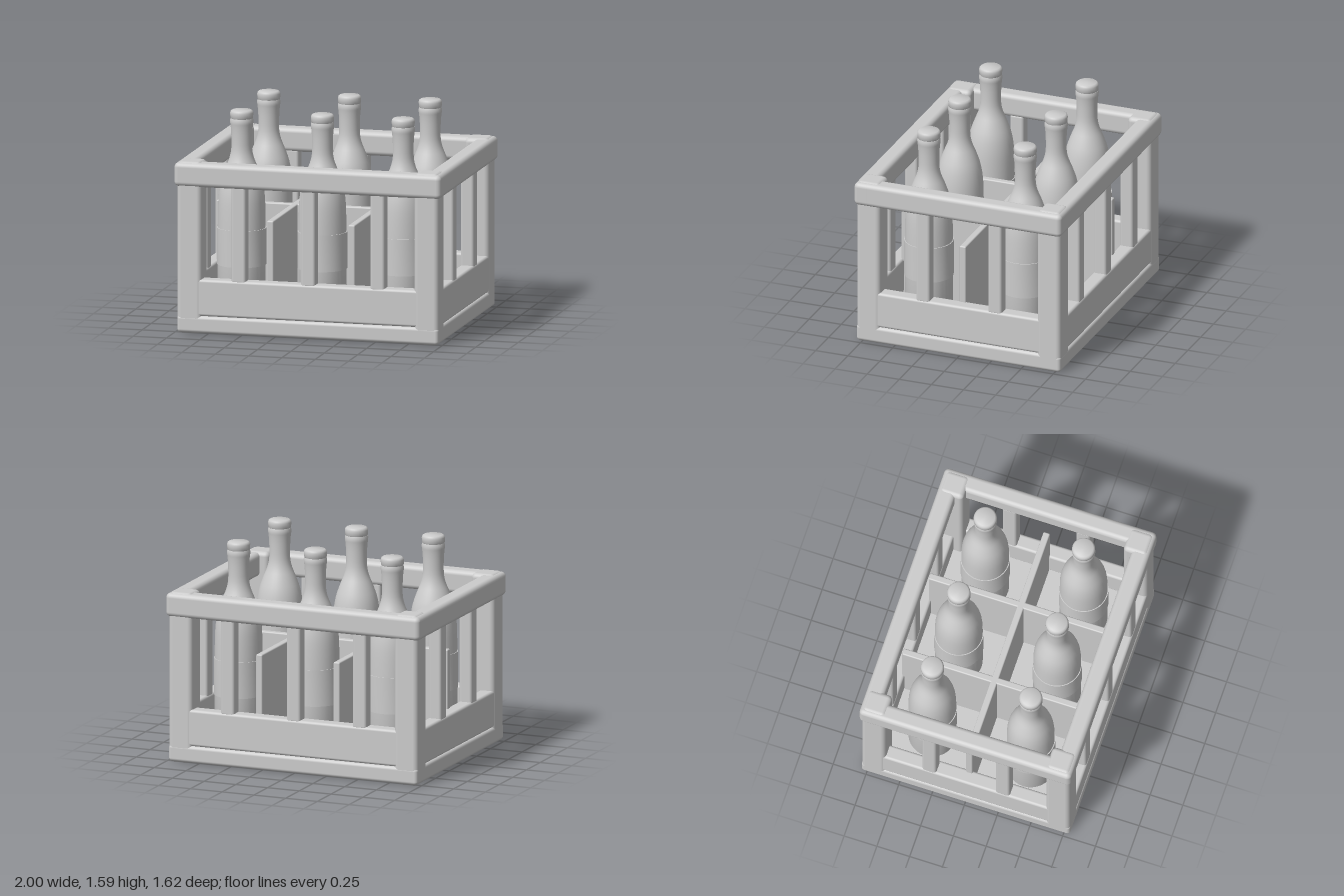
import * as THREE from 'three';
import { toCreasedNormals } from 'three/addons/utils/BufferGeometryUtils.js';
import { RoundedBoxGeometry } from 'three/addons/geometries/RoundedBoxGeometry.js';

export function createModel() {
  const grey = new THREE.MeshStandardMaterial({ color: 0xcccccc });
  grey.name = 'light grey';
  const model = new THREE.Group();
  model.name = 'bottleCrate';

  // rounded box given by its centre in x and z, and its bottom and top in y
  function block(name, x, z, w, d, y0, y1, r, parent = model) {
    const mesh = new THREE.Mesh(new RoundedBoxGeometry(w, y1 - y0, d, 3, r), grey);
    mesh.position.set(x, (y0 + y1) / 2, z);
    mesh.name = name;
    parent.add(mesh);
  }

  // base tray
  block('base', 0, 0, 1.96, 1.59, 0.005, 0.13, 0.025);

  for (const s of [-1, 1]) {
    // low walls
    block('longWall', 0, s * 0.735, 1.84, 0.11, 0.13, 0.4, 0.02);
    block('shortWall', s * 0.92, 0, 0.11, 1.47, 0.13, 0.4, 0.02);
    // top rails
    block('longRail', 0, s * 0.74, 2, 0.135, 1.08, 1.255, 0.035);
    block('shortRail', s * 0.932, 0, 0.135, 1.61, 1.08, 1.255, 0.035);
    // slats between walls and rails
    for (const x of [-0.52, 0, 0.52]) block('longSideSlat', x, s * 0.735, 0.108, 0.1, 0.38, 1.1, 0.02);
    for (const z of [-0.28, 0.28]) block('shortSideSlat', s * 0.92, z, 0.1, 0.108, 0.38, 1.1, 0.02);
    // corner posts
    for (const t of [-1, 1]) block('cornerPost', s * 0.888, t * 0.702, 0.184, 0.184, 0, 1.262, 0.035);
    // cross dividers
    block('crossDivider', s * 0.305, 0, 0.05, 1.4, 0.1, 0.84, 0.01);
  }
  block('longDivider', 0, 0, 1.78, 0.05, 0.1, 0.84, 0.01);

  // bottle turned from profiles of [radius, height]
  const lathe = (points) => toCreasedNormals(
    new THREE.LatheGeometry(points.map(([r, y]) => new THREE.Vector2(r, y)), 32), 0.7);
  const shoulder = new THREE.SplineCurve([
    [0.174, 0.72], [0.172, 0.86], [0.166, 0.97], [0.149, 1.07], [0.118, 1.16],
    [0.09, 1.23], [0.076, 1.3], [0.076, 1.4], [0.08, 1.46], [0.084, 1.49],
  ].map(([r, y]) => new THREE.Vector2(r, y))).getPoints(24).map((p) => [p.x, p.y]);
  const bottleParts = {
    glass: lathe([[0, 0.125], [0.155, 0.125], [0.168, 0.133], [0.174, 0.15], ...shoulder,
      [0.085, 1.51], [0.08, 1.525], [0, 1.525]]),
    label: lathe([[0.17, 0.452], [0.18, 0.452], [0.18, 0.722], [0.17, 0.722]]),
    cap: lathe([[0, 1.52], [0.076, 1.52], [0.083, 1.53], [0.084, 1.565], [0.08, 1.578],
      [0.07, 1.585], [0, 1.585]]),
  };
  for (const x of [-0.605, 0, 0.605]) {
    for (const z of [-0.375, 0.375]) {
      const bottle = new THREE.Group();
      bottle.name = 'bottle';
      bottle.position.set(x, 0, z);
      for (const [name, geometry] of Object.entries(bottleParts)) {
        const mesh = new THREE.Mesh(geometry, grey);
        mesh.name = name;
        bottle.add(mesh);
      }
      model.add(bottle);
    }
  }
  return model;
}
